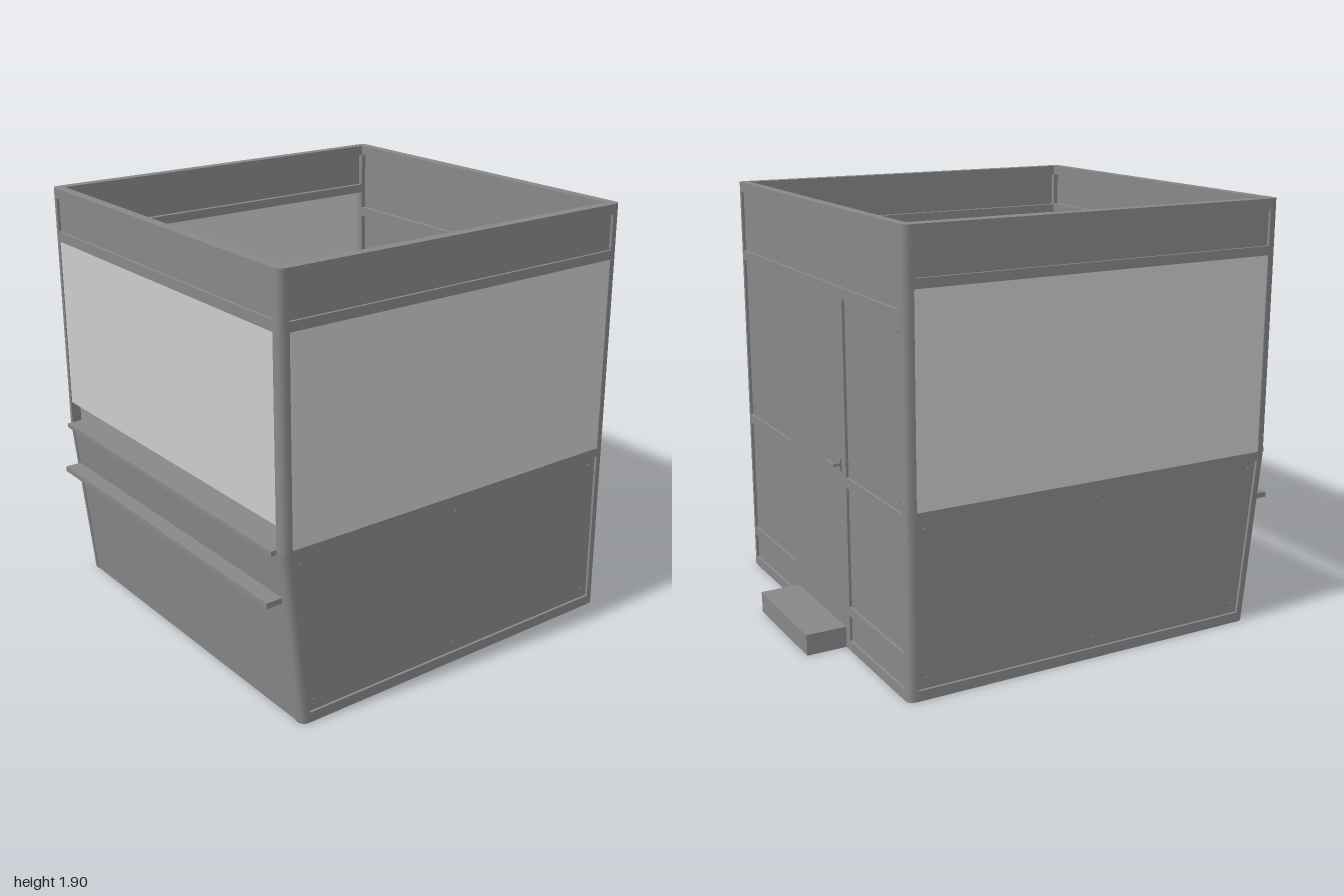
import * as THREE from 'three';
import { toCreasedNormals } from 'three/addons/utils/BufferGeometryUtils.js';

const metal = new THREE.MeshStandardMaterial({ color: 0x888888 });
const pale = new THREE.MeshStandardMaterial({ color: 0xcccccc });
const X = 0.88, FRONT = 0.95, BACK = -0.815, TOP = 1.9, W = 0.045, KNEE = 0.78;

// Below the counter the front leans back towards the floor
function lean(geo) {
  const p = geo.attributes.position;
  for (let i = 0; i < p.count; i++) {
    const y = p.getY(i), z = p.getZ(i);
    if (z > 0.3 && y < KNEE) p.setZ(i, z - 0.08 * (1 - y / KNEE));
  }
  geo.computeVertexNormals();
  return geo;
}

export function createModel() {
  const root = new THREE.Group();

  function add(name, geo, mat = metal) {
    const m = new THREE.Mesh(geo, mat);
    m.name = name;
    root.add(m);
  }
  // Box given by its limits on each axis
  function block(name, x0, x1, y0, y1, z0, z1, mat = metal, leaning = false) {
    const g = new THREE.BoxGeometry(x1 - x0, y1 - y0, z1 - z0);
    g.translate((x0 + x1) / 2, (y0 + y1) / 2, (z0 + z1) / 2);
    add(name, leaning ? lean(g) : g, mat);
  }
  // Square post whose outer corner is rounded
  function post(name, sx, z, sz, y0, y1) {
    const x = sx * X, xi = sx * (X - W), zi = z - sz * W, r = 0.038;
    const s = new THREE.Shape();
    s.moveTo(xi, -zi);
    s.lineTo(x, -zi);
    s.lineTo(x, -(z - sz * r));
    s.quadraticCurveTo(x, -z, x - sx * r, -z);
    s.lineTo(xi, -z);
    s.closePath();
    const g = new THREE.ExtrudeGeometry(s, { depth: y1 - y0, bevelEnabled: false, curveSegments: 6 });
    g.rotateX(-Math.PI / 2).translate(0, y0, 0);
    add(name, toCreasedNormals(lean(g), 0.6));
  }
  // Small round screw head with its axis along x or z
  function screw(x, y, z, axis) {
    const g = new THREE.CylinderGeometry(0.006, 0.006, 0.006, 8);
    if (axis === 'x') g.rotateZ(Math.PI / 2); else g.rotateX(Math.PI / 2);
    g.translate(x, y, z);
    add('screw', lean(g));
  }

  const xi = X - W, zf = FRONT - W, zb = BACK + W;

  // Corner posts and side walls: full-depth rails with thin sheets set between them
  for (const sx of [1, -1]) {
    const side = sx > 0 ? 'left' : 'right';
    post(side + 'BackPost', sx, BACK, -1, 0, TOP);
    post(side + 'FrontPostLower', sx, FRONT, 1, 0, KNEE);
    post(side + 'FrontPostUpper', sx, FRONT, 1, KNEE, TOP);

    const wall = (name, y0, y1, xa, xb, mat) =>
      block(side + name, Math.min(sx * xa, sx * xb), Math.max(sx * xa, sx * xb), y0, y1, zb, zf, mat, true);
    wall('BottomRail', 0, 0.045, xi, X);
    wall('LowerPanel', 0.045, 0.75, X - 0.022, X - 0.012);
    wall('SillRail', 0.75, 0.79, xi, X);
    wall('Window', 0.79, 1.66, X - 0.012, X - 0.004, pale);
    wall('WindowHeadRail', 1.66, 1.7, xi, X);
    wall('HeaderPanel', 1.7, 1.855, X - 0.022, X - 0.012);
    wall('TopRail', 1.855, TOP, xi, X);
    for (const y of [0.09, 0.715])
      for (const z of [0.87, 0.065, -0.73]) screw(sx * (X - 0.011), y, z, 'x');
  }

  // Front wall with the open serving gap under the window
  const front = (name, y0, y1, z0, z1, mat) => block(name, -xi, xi, y0, y1, z0, z1, mat, true);
  front('frontBottomRail', 0, 0.045, zf, FRONT - 0.004);
  front('frontLowerPanel', 0.045, 0.75, FRONT - 0.014, FRONT - 0.004);
  front('frontSillRail', 0.75, 0.77, zf, FRONT - 0.004);
  front('frontWindow', 0.89, 1.66, FRONT - 0.012, FRONT - 0.004, pale);
  front('frontWindowHeadRail', 1.66, 1.705, zf, FRONT);
  front('frontHeaderPanel', 1.705, 1.855, FRONT - 0.022, FRONT - 0.012);
  front('frontTopRail', 1.855, TOP, zf, FRONT);
  for (const y of [0.09, 0.715])
    for (const x of [-0.795, 0, 0.795]) screw(x, y, FRONT - 0.003, 'z');

  // Counter and outside shelf
  block('counterInner', -xi, xi, 0.76, 0.778, 0.6, 0.77);
  block('counterOuter', -xi, xi, 0.77, 0.79, 0.77, 0.975);
  block('frontShelf', -xi, xi, 0.553, 0.577, 0.9, 1.0);

  // Back wall header
  const rail = (name, x0, x1, y0, y1) => block(name, x0, x1, y0, y1, BACK, zb);
  const sheet = (name, x0, x1, y0, y1) => block(name, x0, x1, y0, y1, BACK + 0.012, BACK + 0.022);
  rail('backTopRail', -xi, xi, 1.855, TOP);
  sheet('backHeaderPanel', -xi, xi, 1.58, 1.855);
  rail('backHeadRail', -xi, xi, 1.535, 1.58);
  rail('backBottomRail', -xi, xi, 0, 0.045);

  // Back wall panels on both sides of the door
  for (const sx of [1, -1]) {
    const side = sx > 0 ? 'left' : 'right';
    const span = (a, b) => (sx > 0 ? [a, b] : [-b, -a]);
    rail(side + 'DoorPost', ...span(0.27, 0.31), 0.045, 1.535);
    for (const [y0, y1] of [[0.16, 0.2], [0.735, 0.78]])
      rail(side + 'BackCrossRail', ...span(0.31, xi), y0, y1);
    for (const [y0, y1] of [[0.045, 0.16], [0.2, 0.735], [0.78, 1.535]]) {
      sheet(side + 'BackPanel', ...span(0.31, xi), y0, y1);
      if (y1 - y0 < 0.3) continue;
      for (const x of [0.335, xi - 0.03])
        for (const y of [y0 + 0.04, y1 - 0.04]) screw(sx * x, y, BACK + 0.011, 'z');
    }
  }

  // Door, hinge screws and lever handles
  block('door', -0.27, 0.27, 0.045, 1.535, BACK, BACK + 0.012);
  for (const y of [0.25, 0.3, 0.8, 0.85, 1.4, 1.45]) screw(0.25, y, BACK + 0.002, 'z');
  for (const [z, out] of [[BACK, -1], [BACK + 0.012, 1]]) {
    const at = (a, b) => [Math.min(z + out * a, z + out * b), Math.max(z + out * a, z + out * b)];
    block('handlePlate', -0.265, -0.25, 0.795, 0.85, ...at(0, 0.006));
    block('handleStem', -0.262, -0.25, 0.819, 0.831, ...at(0, 0.036));
    block('handleLever', -0.262, -0.172, 0.82, 0.83, ...at(0.026, 0.036));
  }

  // Raised floor resting level with the lowest cross rails
  block('floor', -xi, xi, 0.16, 0.2, zb, 0.84);

  // Hollow entrance step, open underneath
  block('stepTop', -0.27, 0.27, 0.083, 0.095, -1.0, BACK);
  block('stepFront', -0.27, 0.27, 0, 0.083, -0.998, -0.988);
  for (const sx of [1, -1])
    block('stepSide', sx * 0.264 - 0.005, sx * 0.264 + 0.005, 0, 0.083, -0.988, BACK);

  return root;
}
